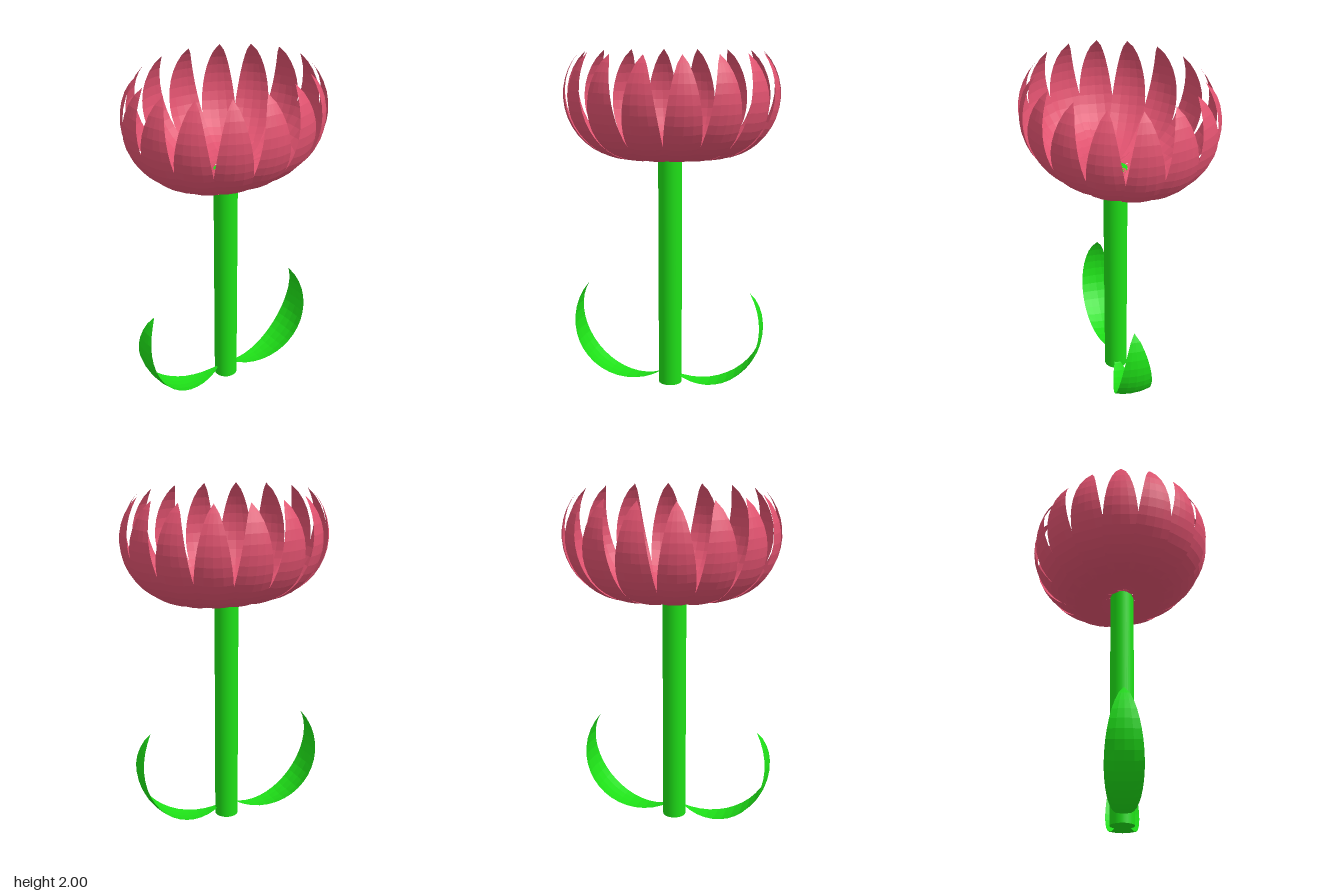
import * as THREE from 'three';

const RADIUS = 0.36;
const rad = THREE.MathUtils.degToRad;

// Pointed blade bent along a circle and cupped like a piece of a sphere.
// It grows outward along +x; (cx, cy) is the centre of the bending circle.
function bladeGeometry(cx, cy, startDeg, endDeg, halfWidth) {
  const rows = 18, cols = 4;
  const geo = new THREE.PlaneGeometry(1, 1, cols, rows);
  const pos = geo.attributes.position;
  for (let i = 0; i <= rows; i++) {
    const t = i / rows;
    const angle = rad(startDeg + (endDeg - startDeg) * t);
    const spread = Math.max(0, Math.sin(Math.PI * Math.pow(t, 1.1)));
    const width = halfWidth * Math.pow(spread, 0.75);
    for (let j = 0; j <= cols; j++) {
      const z = width * (2 * j / cols - 1);
      const rho = Math.sqrt(RADIUS * RADIUS - z * z);
      pos.setXYZ(i * (cols + 1) + j, cx + rho * Math.cos(angle), cy + rho * Math.sin(angle), z);
    }
  }
  geo.computeVertexNormals();
  return geo;
}

export function createModel() {
  const model = new THREE.Group();
  model.name = 'flower';

  const bladeMaterial = (color) => new THREE.MeshStandardMaterial({
    color, flatShading: true, side: THREE.DoubleSide,
  });
  const pink = bladeMaterial(0xe0526f);
  const leafGreen = bladeMaterial(0x1edf17);
  const stemGreen = new THREE.MeshStandardMaterial({ color: 0x1edf17 });

  // Stem
  const stemHeight = 1.425;
  const stem = new THREE.Mesh(new THREE.CylinderGeometry(0.07, 0.07, stemHeight, 32), stemGreen);
  stem.name = 'stem';
  stem.position.set(-0.01, stemHeight / 2, 0.015);
  model.add(stem);

  // Ring of petals, spread into an oval that is wider than deep and slightly turned
  const blossom = new THREE.Group();
  blossom.name = 'blossom';
  const petalGeometry = bladeGeometry(0.178, 1.755, -119.6, 42.9, 0.104);
  const petalCount = 16;
  for (let i = 0; i < petalCount; i++) {
    const angle = rad(2.5 + i * 360 / petalCount);
    const petal = new THREE.Mesh(petalGeometry, pink);
    petal.name = 'petal';
    petal.position.x = 0.08 * Math.cos(angle) - 0.024 * Math.sin(angle);
    petal.position.z = -0.024 * Math.cos(angle);
    petal.rotation.y = -angle;
    blossom.add(petal);
  }
  model.add(blossom);

  // Two leaves curling up from the foot of the stem
  const leafGeometry = bladeGeometry(0.2175, 0.38, -119.6, 38.7, 0.103);
  for (const side of [1, -1]) {
    const leaf = new THREE.Mesh(leafGeometry, leafGreen);
    leaf.name = side > 0 ? 'leftLeaf' : 'rightLeaf';
    leaf.position.set(-0.0225, 0, 0.02);
    leaf.rotation.y = side > 0 ? 0 : Math.PI;
    model.add(leaf);
  }

  return model;
}
